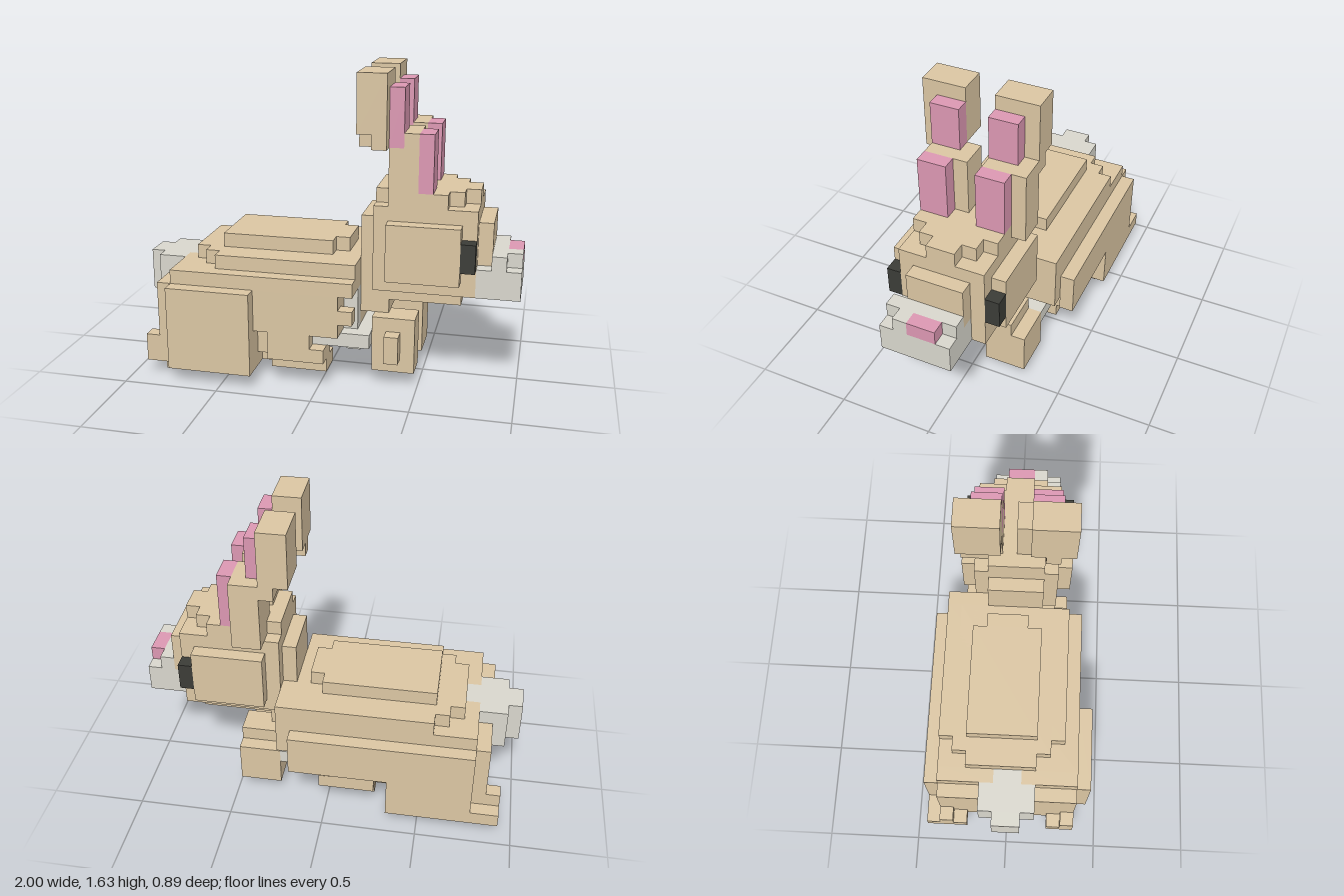
import * as THREE from 'three';
import { mergeGeometries } from 'three/addons/utils/BufferGeometryUtils.js';

const U = 2 / 27; // size of one block

const mat = (name, color) => {
  const m = new THREE.MeshStandardMaterial({ color });
  m.name = name;
  return m;
};

// A block given by its extents in grid cells: x0..x1, y0..y1, z0..z1
function block([x0, x1, y0, y1, z0, z1]) {
  const g = new THREE.BoxGeometry((x1 - x0) * U, (y1 - y0) * U, (z1 - z0) * U);
  return g.translate(
    ((x0 + x1) / 2) * U - 1,
    ((y0 + y1) / 2) * U,
    ((z0 + z1) / 2 - 6) * U
  );
}

export function createModel() {
  const group = new THREE.Group();
  group.name = 'rabbit';
  const tan = mat('tanFur', 0xdac5a2);
  const grey = mat('paleFur', 0xd8d6cc);
  const pink = mat('pinkSkin', 0xdb97b2);
  const black = mat('eyeBlack', 0x3b3c37);

  const part = (name, material, boxes) => {
    const mesh = new THREE.Mesh(mergeGeometries(boxes.map(block)), material);
    mesh.name = name;
    group.add(mesh);
  };
  // Mirrors boxes across the middle of the body
  const mirror = (b) => [b[0], b[1], b[2], b[3], 12 - b[5], 12 - b[4]];

  // Body and stepped back
  part('body', tan, [
    [3, 13, 1, 4, 4, 8],
    [3, 10, 1, 4, 3, 9],
    [3, 13, 2, 4, 2, 10],
    [3, 15, 4, 7, 1, 11],
    [15, 16, 5, 7, 1, 8],
    [15, 16, 4, 5, 4, 8],
    [4, 16, 7, 8, 1, 11],
    [3, 4, 7, 8, 1, 5],
    [3, 4, 7, 8, 7, 11],
  ]);
  part('shoulders', tan, [
    [16, 17, 5, 9, 1, 4],
    [15, 16, 5, 6, 10, 11],
  ]);
  part('back', tan, [
    [4, 16, 8, 9, 3, 8],
    [5, 16, 8, 9, 2, 9],
    [6, 16, 8, 9, 1, 10],
    [6, 14, 9, 10, 3, 8],
    [14, 15, 9, 10, 4, 7],
  ]);
  part('neck', tan, [[16, 18, 5, 8, 4, 8]]);

  // Haunches, with a long flank on the far side
  part('leftHaunch', tan, [
    [2, 9, 1, 7, 8, 11],
    [3, 9, 1, 7, 11, 12],
  ]);
  part('rightHaunch', tan, [
    [2, 9, 1, 7, 1, 4],
    [3, 9, 1, 7, 0, 1],
    [9, 16, 4, 7, 0, 1],
  ]);

  // Hind feet
  part('hindFeet', tan, [
    [1, 3, 1, 2, 9, 11],
    [1, 2, 2, 3, 10, 11],
    [2, 8, 0, 1, 9, 10],
    [1, 3, 1, 2, 0, 3],
    [1, 2, 2, 3, 1, 2],
    [2, 8, 0, 1, 1, 2],
  ]);

  // Forelegs and paws
  const foreleg = [
    [10, 13, 2, 4, 9, 11],
    [13, 14, 2, 3, 9, 11],
    [10, 14, 1, 2, 8, 10],
  ];
  const paw = [[17, 20, 1, 5, 7, 9]];
  part('leftForeleg', tan, foreleg);
  part('rightForeleg', tan, foreleg.map(mirror));
  part('leftPaw', tan, [...paw, [18, 19, 2, 4, 9, 10]]);
  part('rightPaw', tan, [...paw.map(mirror), [17, 20, 1, 4, 2, 3]]);

  // Pale chest
  part('chest', grey, [
    [13, 17, 3, 4, 2, 10],
    [15, 16, 2, 3, 4, 8],
    [15, 16, 4, 7, 8, 9],
  ]);

  // Tail
  part('tail', grey, [
    [1, 3, 5, 8, 4, 8],
    [0, 1, 5, 8, 5, 7],
    [3, 4, 7, 8, 5, 7],
  ]);

  // Head
  part('head', tan, [
    [17, 24, 7, 13, 3, 9],
    [17, 23, 13, 14, 4, 8],
    [23, 24, 13, 14, 5, 7],
    [18, 22, 13, 14, 3, 9],
    [18, 23, 8, 12, 2, 10],
    [16, 17, 8, 12, 4, 8],
    [18, 23, 6, 7, 4, 8],
    [24, 25, 9, 12, 4, 8],
  ]);
  part('muzzle', grey, [
    [24, 27, 7, 9, 4, 9],
    [25, 26, 9, 10, 4, 9],
    [26, 27, 9, 10, 7, 8],
  ]);
  part('nose', pink, [[26, 27, 9, 10, 5, 7]]);
  part('eyes', black, [
    [23, 24, 9, 11, 9, 10],
    [23, 24, 9, 11, 2, 3],
  ]);

  // Ears lean back in steps
  part('leftEar', tan, [
    [18, 20, 14, 17, 6, 9],
    [19, 20, 17, 18, 6, 9],
    [18, 19, 17, 18, 6, 7],
    [16, 18, 18, 22, 7, 10],
    [16, 18, 17, 18, 8, 9],
    [17, 18, 17, 18, 9, 10],
  ]);
  part('rightEar', tan, [
    [18, 20, 13, 17, 2, 5],
    [19, 20, 17, 18, 2, 5],
    [18, 19, 17, 18, 2, 3],
    [16, 18, 18, 22, 2, 5],
    [17, 18, 17, 18, 2, 5],
  ]);
  const inner = [
    [20, 21, 14, 18, 7, 9],
    [18, 19, 17, 21, 7, 9],
  ];
  part('leftInnerEar', pink, inner);
  part('rightInnerEar', pink, inner.map(mirror));

  return group;
}
